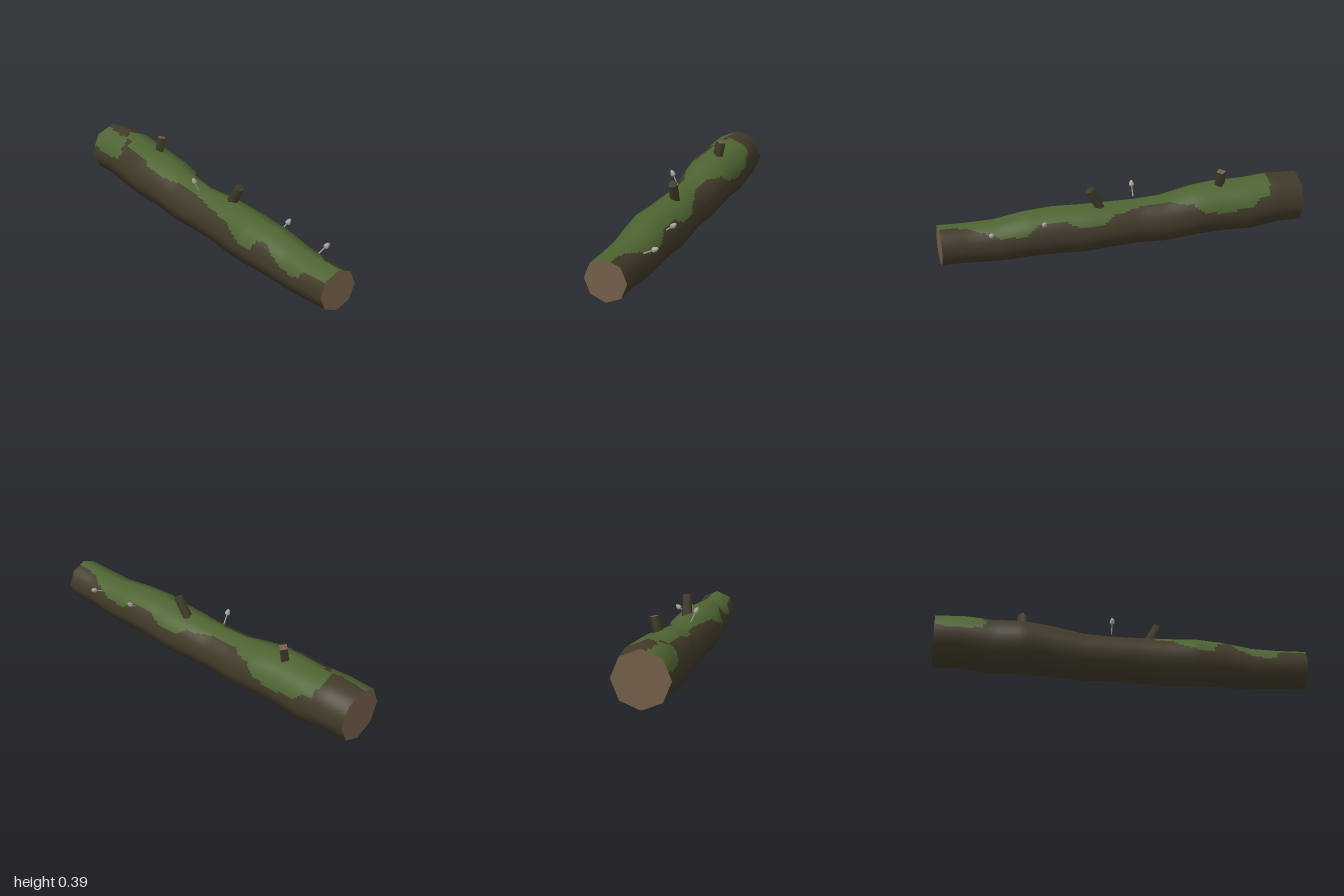
import * as THREE from 'three';

const mat = (name, color) => {
  const m = new THREE.MeshStandardMaterial({ color });
  m.name = name;
  return m;
};

// trunk sections: x, top, bottom, back z, front z
const SECTIONS = [
  [-1, .32, .03, -.135, .156], [-.85, .33, .035, -.146, .152], [-.7, .322, .014, -.15, .152],
  [-.54, .318, .02, -.14, .166], [-.4, .306, .02, -.138, .152], [-.22, .272, .004, -.127, .142],
  [-.07, .266, .01, -.114, .135], [.08, .272, .012, -.125, .13], [.23, .276, .003, -.13, .135],
  [.38, .28, .01, -.125, .145], [.54, .274, .015, -.12, .13], [.7, .25, .014, -.115, .12],
  [.85, .247, .025, -.105, .117], [1, .255, .033, -.11, .11],
];
// lower edge of the moss on each side: x, y
const MOSS_FRONT = [[-1, .3], [-.7, .29], [-.52, .285], [-.46, .265], [-.3, .25], [.05, .238], [.25, .222],
  [.31, .2], [.37, .175], [.48, .17], [.5, .23], [.58, .23], [.62, .2], [.7, .165], [.78, .155], [.83, .17], [.85, .208], [1, .21]];
const MOSS_BACK = [[-1, .25], [-.75, .24], [-.68, .19], [-.42, .185], [-.36, .24], [-.25, .25], [-.05, .24],
  [.08, .23], [.14, .19], [.28, .19], [.34, .225], [.5, .22], [.57, .175], [.7, .18], [.78, .215], [1, .22]];

// linear interpolation in a table keyed by its first column
function sample(table, x) {
  let i = 0;
  while (i < table.length - 2 && x > table[i + 1][0]) i++;
  const a = table[i], b = table[i + 1], t = (x - a[0]) / (b[0] - a[0]);
  return a.map((v, k) => v + (b[k] - v) * t);
}

function section(x) {
  const [, top, bottom, back, front] = sample(SECTIONS, x);
  return { cy: (top + bottom) / 2, ry: (top - bottom) / 2, cz: (front + back) / 2, rz: (front - back) / 2 };
}

function isMossy(x, y, z) {
  if (x < -.74 && z > .04 && y > .21 && y < .31) // separate patch near the thick end
    return x < -.8 || Math.hypot((x + .8) / .06, (y - .25) / .06) < 1;
  const start = -.81 + 6 * Math.max(0, z) ** 2 + 3 * Math.max(0, -z - .06) ** 2;
  if (x < start) return false;
  if (x > .8 && z < -.03 - .6 * Math.max(0, .87 - x)) return false; // bare bark at the thin end
  return y > sample(z > 0 ? MOSS_FRONT : MOSS_BACK, x)[1];
}

// eight-sided trunk, finely divided so that the moss edge can wander
function trunkGeometry() {
  const NX = 120, SIDES = 8, SUB = 8, NA = SIDES * SUB;
  const pos = [], nor = [], faces = [[], []];
  for (let i = 0; i <= NX; i++) {
    const x = -1 + 2 * i / NX, s = section(x), s2 = section(Math.min(1, x + .03)), s1 = section(Math.max(-1, x - .03));
    for (let j = 0; j <= NA; j++) {
      const k = Math.floor(j / SUB), t = (j % SUB) / SUB, a = k * Math.PI / 4, b = a + Math.PI / 4;
      const c = Math.cos(a) * (1 - t) + Math.cos(b) * t, d = Math.sin(a) * (1 - t) + Math.sin(b) * t;
      pos.push(x, s.cy + s.ry * c, s.cz + s.rz * d);
      const slope = ((s2.cy - s1.cy + (s2.ry - s1.ry) * c) * c + (s2.cz - s1.cz + (s2.rz - s1.rz) * d) * d) / .06;
      const n = new THREE.Vector3(-slope, c, d).normalize();
      nor.push(n.x, n.y, n.z);
    }
  }
  const W = NA + 1;
  for (let i = 0; i < NX; i++) for (let j = 0; j < NA; j++) {
    const a = i * W + j, b = a + 1, c = b + W, d = a + W;
    const mid = [0, 1, 2].map(k => (pos[a * 3 + k] + pos[c * 3 + k]) / 2);
    faces[isMossy(...mid) ? 1 : 0].push(a, b, c, a, c, d);
  }
  const g = new THREE.BufferGeometry();
  g.setAttribute('position', new THREE.Float32BufferAttribute(pos, 3));
  g.setAttribute('normal', new THREE.Float32BufferAttribute(nor, 3));
  g.setIndex([...faces[0], ...faces[1]]);
  g.addGroup(0, faces[0].length, 0);
  g.addGroup(faces[0].length, faces[1].length, 1);
  return g;
}

// places an object at a, with its y axis pointing to b
function aim(obj, a, b) {
  const from = new THREE.Vector3(...a), dir = new THREE.Vector3(...b).sub(from);
  obj.position.copy(from);
  obj.quaternion.setFromUnitVectors(new THREE.Vector3(0, 1, 0), dir.clone().normalize());
  return dir.length();
}

export function createModel() {
  const group = new THREE.Group();
  group.name = 'mossyLog';
  const bark = mat('bark', 0x413a29), moss = mat('moss', 0x4e6432);
  const wood = mat('cutWood', 0x735e48), fungus = mat('mushroomGrey', 0xa9a29b);

  const add = (parent, name, geometry, material) => {
    const m = new THREE.Mesh(geometry, material);
    m.name = name;
    parent.add(m);
    return m;
  };

  add(group, 'trunk', trunkGeometry(), [bark, moss]);

  // sawn ends
  for (const side of [-1, 1]) {
    const s = section(side);
    const end = add(group, side < 0 ? 'thickEnd' : 'thinEnd',
      new THREE.CircleGeometry(1, 8).rotateY(side * Math.PI / 2), wood);
    end.scale.set(1, s.ry, s.rz);
    end.position.set(side * .998, s.cy, s.cz);
  }

  // broken branch stubs
  const stub = (name, a, b, radius, sides, top) => {
    const holder = new THREE.Group();
    const length = aim(holder, a, b);
    add(holder, name, new THREE.CylinderGeometry(radius, radius * 1.1, length, sides).translate(0, length / 2, 0), [bark, top, bark]);
    group.add(holder);
    holder.name = name + 'Group';
  };
  stub('squareStub', [-.54, .26, -.006], [-.54, .383, -.033], .028, 4, wood);
  stub('leaningStub', [.135, .24, -.012], [.198, .362, -.024], .026, 6, bark);

  // mushrooms: thin stem and a pointed cap
  const capProfile = [[0, 0], [.011, -.002], [.014, .004], [.012, .016], [.007, .027], [0, .032]]
    .map(p => new THREE.Vector2(...p));
  const mushroom = (a, b) => {
    const m = new THREE.Group();
    m.name = 'mushroom';
    const length = aim(m, a, b);
    add(m, 'stem', new THREE.CylinderGeometry(.003, .004, length, 6).translate(0, length / 2, 0), fungus);
    add(m, 'cap', new THREE.LatheGeometry(capProfile, 8), fungus).position.y = length - .002;
    group.add(m);
  };
  mushroom([-.065, .265, .051], [-.065, .319, .076]);
  mushroom([.47, .21, -.085], [.47, .239, -.124]);
  mushroom([.75, .197, -.088], [.75, .222, -.138]);

  return group;
}
